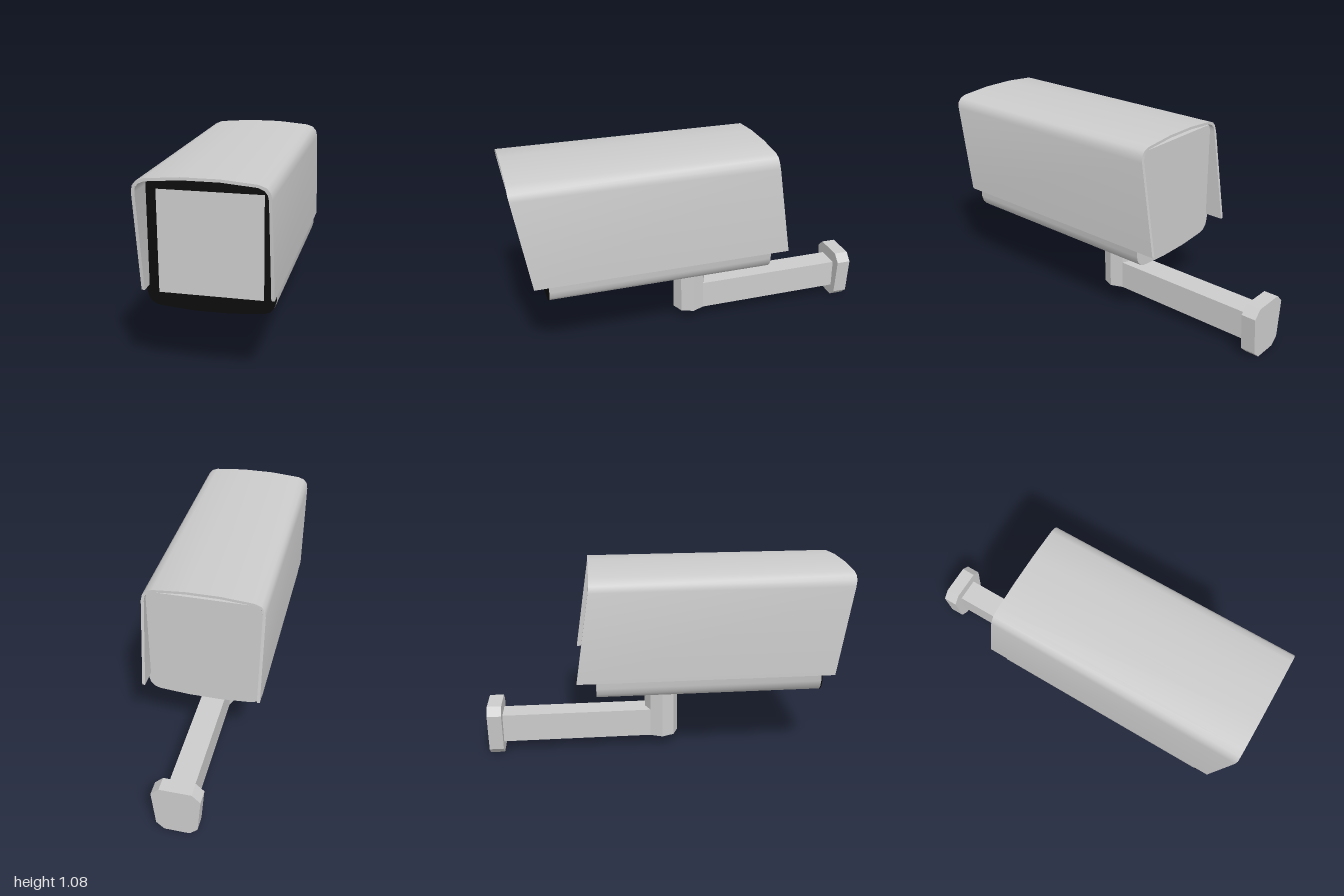
import * as THREE from 'three';
import { toCreasedNormals } from 'three/addons/utils/BufferGeometryUtils.js';

const grey = new THREE.MeshStandardMaterial({ color: 0xcccccc });
const black = new THREE.MeshStandardMaterial({ color: 0x0c0c0c });

// Completes a right-hand outline with its mirror image across x = 0
const mirrored = (half) => [...half, ...half.map(([x, y]) => [-x, y]).reverse()];

const toShape = (points) => new THREE.Shape(points.map(([x, y]) => new THREE.Vector2(x, y)));

// Extrudes an outline between two depths
function prism(shape, zBack, zFront) {
  const geometry = new THREE.ExtrudeGeometry(shape, { depth: zFront - zBack, bevelEnabled: false });
  return geometry.translate(0, 0, zBack);
}

function addPart(group, name, geometry, material = grey) {
  const mesh = new THREE.Mesh(geometry, material);
  mesh.name = name;
  group.add(mesh);
}

export function createModel() {
  const model = new THREE.Group();
  model.name = 'securityCamera';

  // Housing with a gently bowed underside
  const bodyOutline = mirrored([
    [0.09, 0.388], [0.255, 0.401], [0.285, 0.412], [0.306, 0.435], [0.316, 0.47],
    [0.316, 1.0], [0.3, 1.038],
  ]);
  addPart(model, 'housing', toCreasedNormals(prism(toShape(bodyOutline), -0.385, 0.845), 0.6));

  // Black front frame around the window
  const frame = toShape(bodyOutline);
  frame.holes.push(new THREE.Path([
    new THREE.Vector2(-0.257, 0.468), new THREE.Vector2(-0.257, 0.982),
    new THREE.Vector2(0.257, 0.982), new THREE.Vector2(0.257, 0.468),
  ]));
  addPart(model, 'frontFrame', prism(frame, 0.845, 0.851), black);
  const glass = new THREE.BoxGeometry(0.514, 0.514, 0.01);
  addPart(model, 'window', glass.translate(0, 0.725, 0.845));

  // Sun hood: thin bent sheet whose ends lean back towards the bottom
  const outer = [[0.32, 0.502], [0.32, 1.0], [0.313, 1.034], [0.295, 1.056], [0.26, 1.069], [0.09, 1.083]];
  const inner = [[0.304, 0.502], [0.304, 1.0], [0.299, 1.025], [0.285, 1.043], [0.257, 1.055], [0.09, 1.069]];
  const mirrorBack = (half) => half.map(([x, y]) => [-x, y]);
  const hoodOutline = [
    ...outer, ...mirrorBack(outer).reverse(),
    ...mirrorBack(inner), ...[...inner].reverse(),
  ];
  const hood = prism(toShape(hoodOutline), -0.49, 0.92);
  const position = hood.attributes.position;
  for (let i = 0; i < position.count; i++) {
    const lean = 0.08 * Math.min(1, (position.getY(i) - 0.502) / 0.53);
    position.setZ(i, position.getZ(i) + lean);
  }
  hood.computeVertexNormals();
  addPart(model, 'sunHood', toCreasedNormals(hood, 0.6));

  // Eight-sided post under the housing
  const post = new THREE.CylinderGeometry(0.095, 0.095, 0.33, 8);
  addPart(model, 'post', toCreasedNormals(post.translate(0, 0.23, -0.008), 0.3));

  // Arm reaching back to the wall
  const arm = new THREE.BoxGeometry(0.135, 0.161, 0.86);
  addPart(model, 'arm', arm.translate(0, 0.1465, -0.505));

  // Tapered wall plate with cut corners
  const plate = mirrored([[0.067, 0], [0.11, 0.04], [0.129, 0.25], [0.085, 0.294]]);
  addPart(model, 'wallPlate', prism(toShape(plate), -1, -0.92));

  return model;
}
